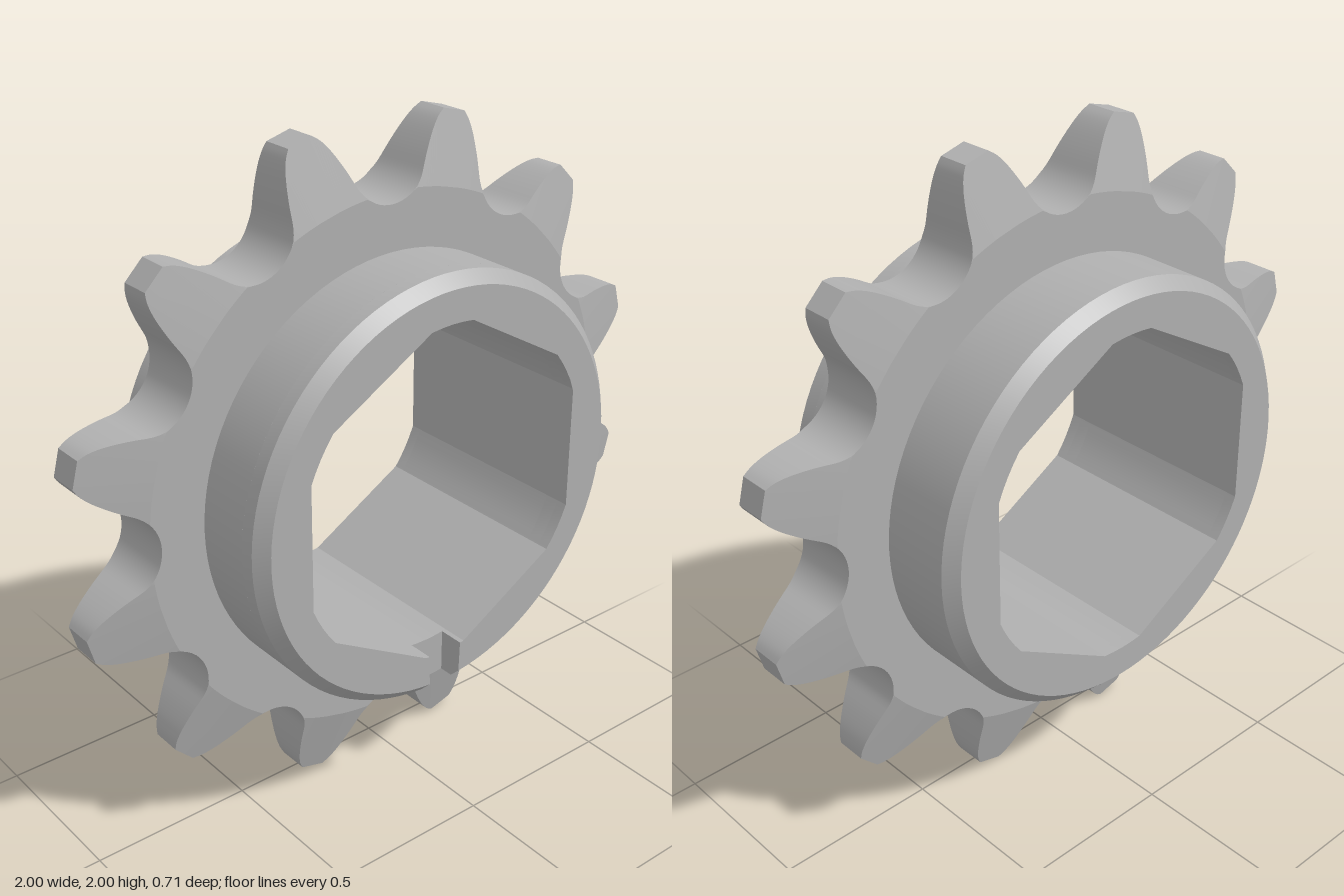
import * as THREE from 'three';
import { toCreasedNormals } from 'three/addons/utils/BufferGeometryUtils.js';

const TEETH = 12, HUB_R = 0.65, BORE_R = 0.517, CHAMFER = 0.036, HALF = 0.355;
const NOTCH_W = 0.06, NOTCH_Z = 0.275, CREASE = 0.2;
const rad = THREE.MathUtils.degToRad;
const polar = (r, a) => new THREE.Vector2(r * Math.cos(a), r * Math.sin(a));

// Hexagonal bore with rounded corners, listed from the bottom corner round
function borePoints(notched) {
  const pts = [];
  for (let k = 0; k <= (notched ? 6 : 5); k++) {
    for (let i = -2; i <= 2; i++) {
      if (notched && ((k === 0 && i < 2) || (k === 6 && i > -2))) continue;
      pts.push(polar(BORE_R, rad(-90 + 60 * k + i * 4.1)));
    }
  }
  return pts;
}

// Hub cross-section: a closed ring, or a ring cut open at the bottom by the key slot
function hubShape(notched) {
  const gap = notched ? Math.asin(NOTCH_W / HUB_R) : 0;
  const n = 96, outer = [];
  for (let i = 0; i < n + (notched ? 1 : 0); i++) {
    outer.push(polar(HUB_R, -Math.PI / 2 + gap + (i / n) * 2 * (Math.PI - gap)));
  }
  const bore = borePoints(notched);
  if (!notched) {
    const shape = new THREE.Shape(outer);
    shape.holes.push(new THREE.Path(bore));
    return shape;
  }
  const y = -Math.sqrt(BORE_R ** 2 - NOTCH_W ** 2);
  const inner = [new THREE.Vector2(NOTCH_W, y), ...bore, new THREE.Vector2(-NOTCH_W, y)];
  return new THREE.Shape([...outer, ...inner.reverse()]);
}

// Hub slice from z0 to z1; the rim at z = narrowAt is drawn in for the chamfer
function hubSlice(z0, z1, notched, narrowAt) {
  const geo = new THREE.ExtrudeGeometry(hubShape(notched), { depth: z1 - z0, bevelEnabled: false });
  geo.translate(0, 0, z0);
  const p = geo.attributes.position;
  for (let i = 0; i < p.count; i++) {
    const x = p.getX(i), y = p.getY(i);
    if (narrowAt !== undefined && Math.abs(p.getZ(i) - narrowAt) < 1e-4 && Math.hypot(x, y) > 0.6) {
      const s = (HUB_R - CHAMFER) / HUB_R;
      p.setXY(i, x * s, y * s);
    }
  }
  return toCreasedNormals(geo, CREASE);
}

// Half a tooth gap, from the root to the tooth tip, around the +x axis
function halfGap() {
  const pts = [], c = 0.917, R = 0.132;
  for (let i = 0; i < 9; i++) {
    const a = rad(62.5 * i / 9);
    pts.push(new THREE.Vector2(c - R * Math.cos(a), R * Math.sin(a)));
  }
  const flank = new THREE.SplineCurve([[0.856, 0.117], [0.902, 0.142], [0.951, 0.174], [0.983, 0.202], [1.0, 0.227]]
    .map(([x, y]) => new THREE.Vector2(x, y)));
  return pts.concat(flank.getPoints(12));
}

// Toothed plate, flat near the hub and tapering towards the tips
function toothedPlate() {
  const half = halfGap();
  const mirrored = half.slice(1).reverse().map(p => new THREE.Vector2(p.x, -p.y));
  const gap = [...mirrored, ...half];
  const outline = [];
  for (let k = 0; k < TEETH; k++) {
    for (const p of gap) outline.push(p.clone().rotateAround(new THREE.Vector2(), k * 2 * Math.PI / TEETH));
  }
  const TAPER_R = 0.82, verts = [];
  const tri = (a, b, c) => {
    const area = b.clone().sub(a).cross(c.clone().sub(a)).length();
    if (area > 1e-8) for (const v of [a, b, c]) verts.push(v.x, v.y, v.z);
  };
  const quad = (a, b, c, d) => { tri(a, b, c); tri(a, c, d); };
  // Section at one outline point: front face outwards, then back face inwards
  const section = (p) => {
    const r = p.length(), at = (q, z) => new THREE.Vector3(p.x * q / r, p.y * q / r, z);
    const mid = Math.min(r, TAPER_R);
    const z = 0.102 - Math.max(0, r - TAPER_R) * 0.265;
    return [at(0.6, 0.102), at(mid, 0.102), at(r, z), at(r, -z), at(mid, -0.102), at(0.6, -0.102)];
  };
  const sections = outline.map(section);
  sections.forEach((s, i) => {
    const t = sections[(i + 1) % sections.length];
    for (let j = 0; j < 5; j++) quad(s[j], s[j + 1], t[j + 1], t[j]);
  });
  const geo = new THREE.BufferGeometry();
  geo.setAttribute('position', new THREE.Float32BufferAttribute(verts, 3));
  return toCreasedNormals(geo, CREASE);
}

export function createModel() {
  const group = new THREE.Group();
  group.name = 'sprocket';
  const steel = new THREE.MeshStandardMaterial({ color: 0xb0b0b0 });
  steel.name = 'steel grey';
  const add = (name, geo) => {
    const mesh = new THREE.Mesh(geo, steel);
    mesh.name = name;
    mesh.position.y = 1;
    group.add(mesh);
  };
  add('toothedPlate', toothedPlate());
  add('hubBody', hubSlice(-HALF + CHAMFER, NOTCH_Z, false));
  add('hubBackChamfer', hubSlice(-HALF, -HALF + CHAMFER, false, -HALF));
  add('hubSlottedRim', hubSlice(NOTCH_Z, HALF - CHAMFER, true));
  add('hubFrontChamfer', hubSlice(HALF - CHAMFER, HALF, true, HALF));
  return group;
}
